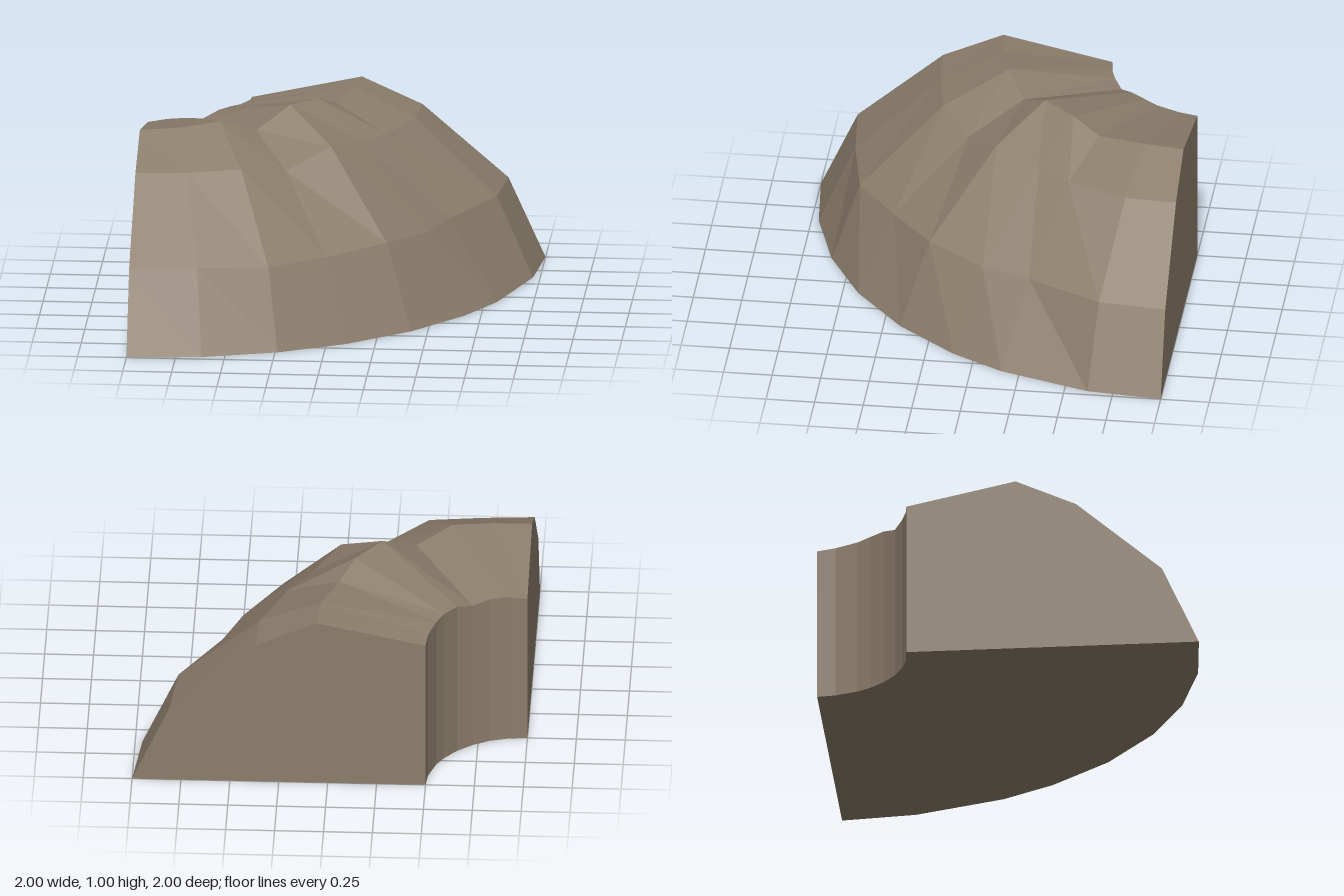
import * as THREE from 'three';

// Sweep angles in degrees, from the +z end to the +x end, about the corner (-1, -1)
const ANGLES = [0, 11, 22.4, 33.4, 45, 56.3, 65, 79, 90];

// Rings of the cross-section: radius and height at each sweep angle
const RINGS = [
  { r: 0.5, y: 0 }, // inner foot
  { r: 0.5, y: [0.82, 0.835, 0.835, 0.82, 0.85, 0.85, 0.84, 0.83, 0.82] }, // inner rim
  { r: 1.06, y: [0.94, 0.95, 0.97, 0.9, 1, 0.99, 0.93, 0.945, 0.94] }, // crest
  { r: [1.37, 1.377, 1.407, 1.37, 1.375, 1.336, 1.353, 1.38, 1.37],
    y: [0.8, 0.8, 0.81, 0.76, 0.845, 0.81, 0.8, 0.8, 0.8] }, // shoulder
  { r: [1.81, 1.813, 1.85, 1.795, 1.81, 1.77, 1.73, 1.81, 1.81],
    y: [0.42, 0.42, 0.41, 0.41, 0.43, 0.41, 0.41, 0.42, 0.42] }, // lower slope
  { r: 2, y: 0 }, // outer foot
];

const at = (v, i) => (Array.isArray(v) ? v[i] : v);

function ringPoint(i, j) {
  const ring = RINGS[j % RINGS.length];
  const a = THREE.MathUtils.degToRad(ANGLES[i]);
  const r = at(ring.r, i);
  return [-1 + r * Math.sin(a), at(ring.y, i), -1 + r * Math.cos(a)];
}

function buildPart(fill) {
  const pos = [];
  fill((...corners) => corners.forEach(([i, j]) => pos.push(...ringPoint(i, j))));
  const geo = new THREE.BufferGeometry();
  geo.setAttribute('position', new THREE.Float32BufferAttribute(pos, 3));
  geo.computeVertexNormals(); // unshared corners give flat facets
  return geo;
}

export function createModel() {
  const group = new THREE.Group();
  group.name = 'curvedCliff';
  const rock = new THREE.MeshStandardMaterial({ color: 0x8b7d6b, flatShading: true });
  rock.name = 'rock brown';

  const add = (name, fill) => {
    const mesh = new THREE.Mesh(buildPart(fill), rock);
    mesh.name = name;
    group.add(mesh);
  };

  const last = ANGLES.length - 1;
  // Strip between neighbouring rings, following the sweep
  const strip = (j) => (tri) => {
    for (let i = 0; i < last; i++) {
      tri([i, j], [i, j + 1], [i + 1, j + 1]);
      tri([i, j], [i + 1, j + 1], [i + 1, j]);
    }
  };
  ['innerWall', 'topSlope', 'crestSlope', 'upperSlope', 'lowerSlope', 'underside']
    .forEach((name, j) => add(name, strip(j)));

  // Flat cut faces at both ends
  add('frontEndFace', (tri) => {
    for (let k = 1; k < RINGS.length - 1; k++) tri([0, 0], [0, k + 1], [0, k]);
  });
  add('backEndFace', (tri) => {
    for (let k = 1; k < RINGS.length - 1; k++) tri([last, 0], [last, k], [last, k + 1]);
  });

  return group;
}
